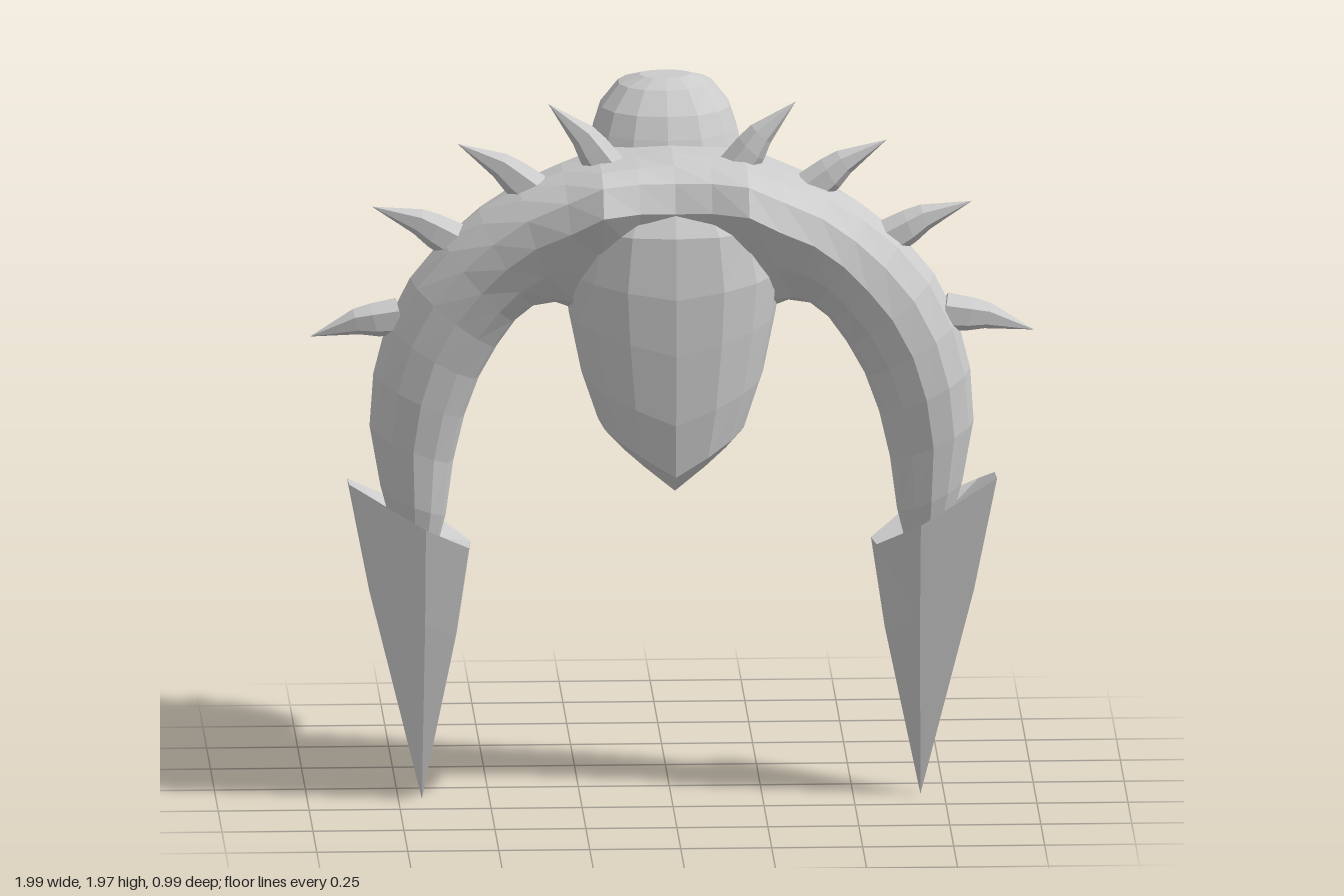
import * as THREE from 'three';

const mat = new THREE.MeshStandardMaterial({ color: 0xcccccc, flatShading: true, side: THREE.DoubleSide });
const V = (x, y, z) => new THREE.Vector3(x, y, z);
const TAU = Math.PI * 2;

// Skin a list of equal-length rings; each end closes to a point (or the ring centre)
function loft(name, rings, startTip, endTip) {
  const tris = [];
  const n = rings[0].length;
  const centre = (r) => r.reduce((s, p) => s.add(p), V(0, 0, 0)).divideScalar(n);
  for (let i = 0; i < rings.length - 1; i++) {
    for (let j = 0; j < n; j++) {
      const k = (j + 1) % n;
      const a = rings[i][j], b = rings[i][k], c = rings[i + 1][k], d = rings[i + 1][j];
      tris.push([a, b, c], [a, c, d]);
    }
  }
  const first = rings[0], last = rings[rings.length - 1];
  const p0 = startTip || centre(first), p1 = endTip || centre(last);
  for (let j = 0; j < n; j++) {
    const k = (j + 1) % n;
    tris.push([first[k], first[j], p0], [last[j], last[k], p1]);
  }
  // Turn the faces outward
  const volume = tris.reduce((s, [a, b, c]) => s + a.dot(b.clone().cross(c)), 0);
  if (volume < 0) tris.forEach((t) => t.reverse());
  const geo = new THREE.BufferGeometry().setFromPoints(tris.flat());
  geo.computeVertexNormals();
  const mesh = new THREE.Mesh(geo, mat);
  mesh.name = name;
  return mesh;
}

// Horizontal ring: half width w, from z0 to z1, with the middle dropped into a V
function flatRing(y, w, z0, z1, drop = 0, n = 12, power = 1) {
  return Array.from({ length: n }, (_, i) => {
    const a = (i / n) * TAU;
    const s = Math.sin(a), c = Math.cos(a);
    const sx = Math.sign(s) * Math.abs(s) ** power, cz = Math.sign(c) * Math.abs(c) ** power;
    return V(w * sx, y - drop * (1 - Math.abs(sx)), (z0 + z1) / 2 + ((z1 - z0) / 2) * cz);
  });
}

// Section across the yoke and arms, between an outer and an inner point
function armRing([ox, oy, ix, iy, cz, rz, lift], side) {
  return Array.from({ length: 12 }, (_, i) => {
    const a = (i / 12) * TAU;
    const s = Math.sin(a), c = Math.cos(a);
    const t = c + lift * s * s;
    const tuck = c < -0.01 ? 1 - lift * 0.45 : 1;
    return V(side * ((ox + ix) / 2 + ((ox - ix) / 2) * t), (oy + iy) / 2 + ((oy - iy) / 2) * t, cz + rz * s * tuck);
  });
}

function makeBlade(s) {
  const rim = [[0.89, 0.93, 0.26], [0.89, 0.91, 0.1], [0.85, 0.87, 0], [0.64, 0.78, 0],
    [0.55, 0.73, 0.1], [0.56, 0.74, 0.23], [0.68, 0.8, 0.27]].map(([x, y, z]) => V(s * x, y, z));
  const tip = V(s * 0.685, 0.01, 0.125);
  const mid = rim.map((p) => p.clone().lerp(tip, 0.35).add(V((p.x - s * 0.71) * 0.06, 0, 0)));
  return loft('blade', [rim, mid], V(s * 0.71, 0.76, 0.14), tip);
}

// Bent thorn: a stout root that narrows and sweeps to a tip
function makeSpike(s, [bx, by, tx, ty]) {
  const base = V(s * bx, by, 0.18), tip = V(s * tx, ty, 0.18);
  const dir = tip.clone().sub(base).normalize();
  const across = V(-dir.y, dir.x, 0);
  const ring = (t, r, bend) => Array.from({ length: 6 }, (_, i) => {
    const a = (i / 6) * TAU;
    return base.clone().lerp(tip, t).addScaledVector(across, r * Math.cos(a) + s * bend)
      .add(V(0, 0, r * Math.sin(a)));
  });
  return loft('spike', [ring(-0.15, 0.055, -0.01), ring(0.18, 0.048, 0), ring(0.4, 0.037, 0.008)], null, tip);
}

function makeHead() {
  const head = new THREE.Group();
  head.name = 'head';
  // y, half width, face z, rear z
  const skull = [[1.45, 0.1, -0.37, -0.16], [1.49, 0.15, -0.41, -0.12], [1.58, 0.19, -0.43, -0.095],
    [1.63, 0.2, -0.45, -0.085], [1.68, 0.21, -0.48, -0.075], [1.77, 0.21, -0.44, -0.065], [1.81, 0.2, -0.455, -0.08],
    [1.87, 0.18, -0.445, -0.11], [1.93, 0.13, -0.41, -0.17], [1.955, 0.07, -0.32, -0.22]];
  head.add(loft('skull', skull.map(([y, w, f, r]) => flatRing(y, w, f, r, 0, 14, 0.92))));

  // Wedge nose
  const nose = [V(-0.05, 1.66, -0.44), V(0, 1.8, -0.43), V(0.05, 1.66, -0.44), V(0, 1.63, -0.44)];
  head.add(loft('nose', [nose], null, V(0, 1.675, -0.5)));

  // Slanted eyes under heavy brows
  for (const s of [-1, 1]) {
    const bar = (name, w, h, d, y, z) => {
      const m = new THREE.Mesh(new THREE.BoxGeometry(w, h, d), mat);
      m.name = name;
      m.position.set(s * 0.09, y, z);
      m.rotation.set(0, s * 0.4, s * 0.3);
      head.add(m);
    };
    bar('brow', 0.12, 0.022, 0.05, 1.8, -0.41);
    bar('eye', 0.075, 0.018, 0.03, 1.755, -0.405);
  }

  // Mouth: a lip ring lined with two rows of teeth
  const lip = new THREE.Mesh(new THREE.TorusGeometry(0.085, 0.014, 5, 14), mat);
  lip.name = 'lip';
  lip.scale.y = 0.5;
  lip.position.set(0, 1.53, -0.415);
  lip.rotation.x = -0.2;
  head.add(lip);
  for (const row of [-1, 1]) {
    for (let i = -3; i <= 3; i++) {
      const tooth = new THREE.Mesh(new THREE.ConeGeometry(0.013, 0.045, 4), mat);
      tooth.name = 'tooth';
      const x = i * 0.023;
      tooth.position.set(x, 1.53 + row * (0.024 - Math.abs(i) * 0.002), -0.432 + x * x * 4);
      tooth.rotation.x = row > 0 ? Math.PI : 0;
      head.add(tooth);
    }
  }
  return head;
}

export function createModel() {
  const model = new THREE.Group();
  model.name = 'clawedCreature';

  // Torso with a keeled underside: y, half width, rear z, front z, keel drop
  const torso = [[1.08, 0.19, 0.06, 0.37, 0.15], [1.1, 0.205, 0.0, 0.43, 0.12], [1.23, 0.25, -0.055, 0.455, 0.1],
    [1.4, 0.285, -0.08, 0.47, 0.07], [1.53, 0.3, -0.085, 0.475, 0.04], [1.66, 0.27, -0.07, 0.46, 0],
    [1.75, 0.2, -0.05, 0.4, 0]];
  const bottom = V(0, 0.935, 0.22);
  model.add(loft('torso', torso.map(([y, w, b, f, d]) => flatRing(y, w, b, f, d, 16, 0.85)), bottom));

  // Shoulders and arms: outer x,y, inner x,y, centre z, depth radius, lift
  const half = [[0.1, 1.83, 0.1, 1.42, 0.195, 0.25, 0.5], [0.2, 1.82, 0.2, 1.4, 0.195, 0.295, 0.55],
    [0.3, 1.79, 0.26, 1.4, 0.185, 0.265, 0.4], [0.42, 1.745, 0.32, 1.42, 0.175, 0.23, 0.25],
    [0.53, 1.68, 0.38, 1.41, 0.17, 0.205, 0.1], [0.63, 1.6, 0.43, 1.37, 0.17, 0.18, 0],
    [0.72, 1.49, 0.48, 1.3, 0.17, 0.16, 0], [0.785, 1.36, 0.53, 1.21, 0.165, 0.15, 0],
    [0.82, 1.22, 0.57, 1.1, 0.16, 0.14, 0], [0.83, 1.07, 0.6, 0.97, 0.15, 0.125, 0],
    [0.8, 0.9, 0.62, 0.82, 0.145, 0.105, 0], [0.76, 0.75, 0.65, 0.7, 0.14, 0.07, 0]];
  const middle = armRing([0, 1.84, 0, 1.45, 0.19, 0.235, 0.4], 1);
  model.add(loft('shouldersAndArms', [
    ...half.map((h) => armRing(h, -1)).reverse(), middle, ...half.map((h) => armRing(h, 1))]));

  // Blades and spikes on both sides: base x,y, tip x,y
  const spikes = [[0.19, 1.82, 0.34, 1.98], [0.4, 1.755, 0.59, 1.87], [0.615, 1.61, 0.825, 1.695], [0.78, 1.385, 0.995, 1.33]];
  for (const s of [-1, 1]) {
    model.add(makeBlade(s));
    spikes.forEach((p) => model.add(makeSpike(s, p)));
  }

  // Neck joining the head to the shoulders
  const neck = new THREE.Mesh(new THREE.CylinderGeometry(0.1, 0.13, 0.26, 10), mat);
  neck.name = 'neck';
  neck.rotation.x = -Math.PI / 2;
  neck.position.set(0, 1.68, -0.06);
  model.add(neck, makeHead());
  return model;
}
